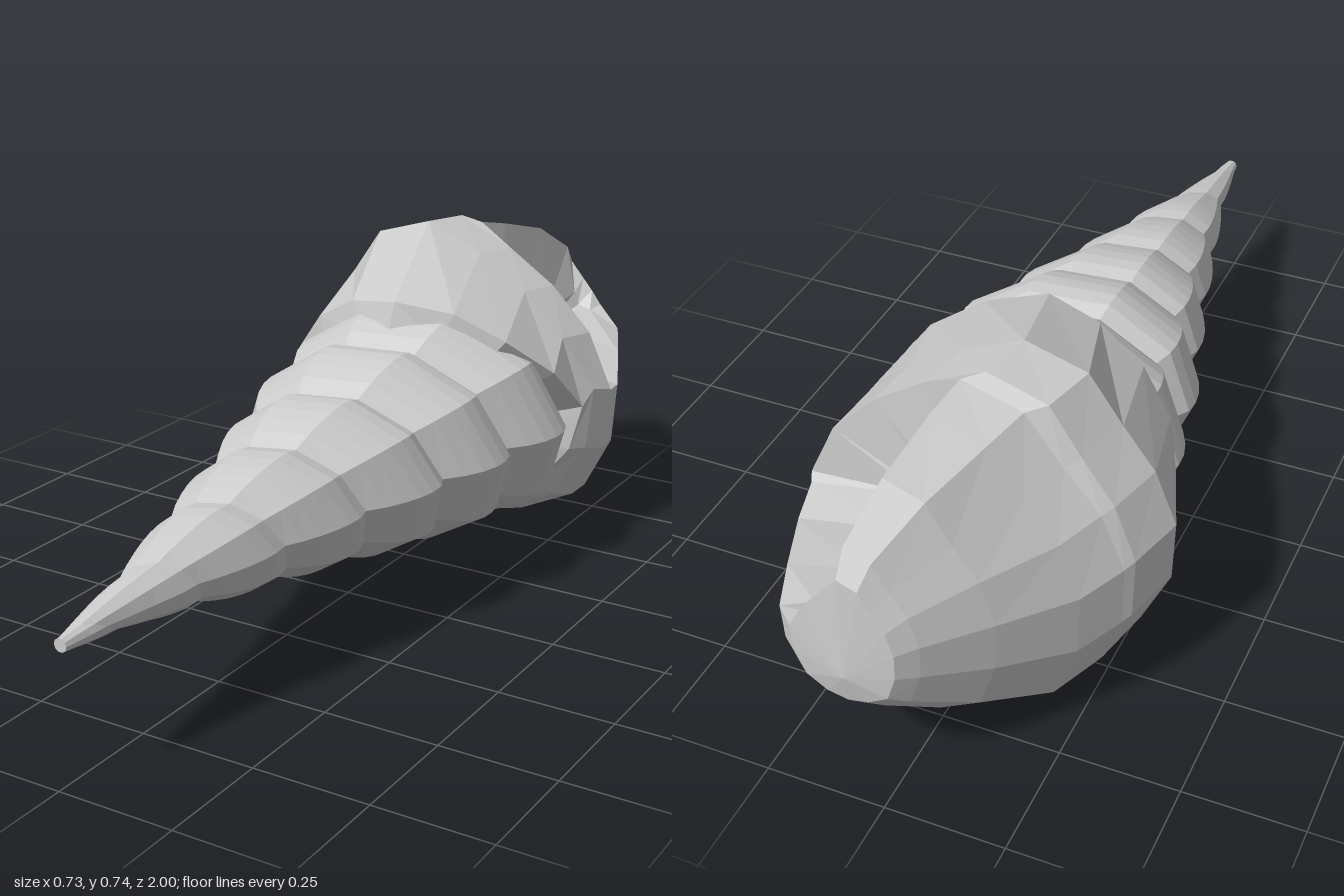
import * as THREE from 'three';

const { lerp, degToRad } = THREE.MathUtils;

// Faceted surface from f(u, v) -> [x, y, z]; it faces along du x dv
function gridMesh(name, nu, nv, f, material) {
  const pos = [], index = [];
  for (let u = 0; u <= nu; u++) for (let v = 0; v <= nv; v++) pos.push(...f(u, v));
  for (let u = 0; u < nu; u++) {
    for (let v = 0; v < nv; v++) {
      const a = u * (nv + 1) + v, b = a + nv + 1;
      index.push(a, b, a + 1, b, b + 1, a + 1);
    }
  }
  const indexed = new THREE.BufferGeometry();
  indexed.setAttribute('position', new THREE.Float32BufferAttribute(pos, 3));
  indexed.setIndex(index);
  const geometry = indexed.toNonIndexed();
  geometry.computeVertexNormals();
  const mesh = new THREE.Mesh(geometry, material);
  mesh.name = name;
  return mesh;
}

// Linear lookup in [key, value] pairs with falling keys
function sample(table, k) {
  if (k >= table[0][0]) return table[0][1];
  for (let i = 1; i < table.length; i++) {
    const [k0, v0] = table[i - 1], [k1, v1] = table[i];
    if (k >= k1) return lerp(v0, v1, (k0 - k) / (k0 - k1));
  }
  return table[table.length - 1][1];
}

// Outer radius of the spire along z
const SPIRE = [[1, 0.014], [0.8, 0.05], [0.6, 0.1], [0.38, 0.148], [0.17, 0.198],
  [-0.02, 0.242], [-0.22, 0.272], [-0.4, 0.292], [-0.6, 0.285]];
const PITCH = 0.21, SIDES = 10, ARCH = 6;

// Coiled whorls: an arched band wound clockwise from the tip, tilted back at the bottom
function spirePoint(i, j) {
  const s = j / ARCH, a = Math.PI / 2 - ((i - 0.5) / SIDES) * Math.PI * 2;
  const z = Math.min(1, 1.38 - (PITCH * (i - 0.5)) / SIDES - PITCH * s);
  const arch = Math.pow(Math.max(0, Math.sin(Math.PI * s)), 0.7);
  const r = sample(SPIRE, z) * (z < 1 ? 1 - 0.15 * (1 - arch) : 1);
  const wide = 1 + 0.2 * Math.min(1, 1.1 * (1 - z));
  const tilt = z < 1 ? 0.2 * r * (1 - Math.sin(a)) : 0;
  return [0.022 + r * wide * Math.cos(a), 0.296 + 0.035 * (1 - z) + r * Math.sin(a), z - tilt];
}

// Body rings: z, left x, right x, bottom y, top y, depth of the mouth
const BODY = [
  [-0.14, -0.25, 0.28, 0.13, 0.56, 0],
  [-0.16, -0.3, 0.34, 0.09, 0.632, 0],
  [-0.46, -0.39, 0.345, 0.04, 0.74, 0],
  [-0.57, -0.35, 0.36, 0.015, 0.735, 0],
  [-0.59, -0.335, 0.35, 0.01, 0.72, 1],
  [-0.68, -0.28, 0.33, 0, 0.70, 1],
  [-0.83, -0.175, 0.265, 0.10, 0.66, 0.95],
  [-0.95, -0.08, 0.21, 0.21, 0.59, 0.7],
  [-0.985, -0.045, 0.17, 0.25, 0.545, 0.15],
  [-1, 0.06, 0.06, 0.32, 0.32, 0],
];
// Slanted front edge of the body by clockwise angle from the top
const EDGE = [[0, -0.16], [-45, -0.25], [-90, -0.46], [-180, -0.42], [-270, -0.27], [-360, -0.16]];
const BODY_SIDES = 16;
// Flat shoulders and full lower flank: radius factor by side, clockwise from the top
const FLANK = [1, 0.9, 0.88, 0.92, 1, 1.05, 1.08, 1.02, 1, 1.01, 1.08, 1.01, 0.95, 0.88, 0.84, 0.96];
// Share of the radius left inside the mouth, by side number
const MOUTH = { 1: 0.26, 2: 0.12, 3: 0.36 };

function bodyPoint(i, j) {
  const [z0, xl, xr, yb, yt, mouth] = BODY[j];
  const side = i % BODY_SIDES, turn = side * (360 / BODY_SIDES);
  const a = degToRad(90 - turn), c = Math.cos(a), s = Math.sin(a);
  const edge = sample(EDGE, -turn);
  const z = j < 2 ? edge + z0 + 0.16 : j < 4 ? Math.min(z0, edge - 0.05 * (j - 1)) : z0;
  const k = (j > 1 ? FLANK[side] : 1) * lerp(1, MOUTH[side] ?? 1, mouth);
  const lean = s > 0 && j > 1 && j < 4 ? -0.04 * s * s : 0;
  const x = (xl + xr) / 2 + (k * c * (xr - xl)) / 2 + lean;
  return [x, (yb + yt) / 2 + (k * s * (yt - yb)) / 2, z];
}

export function createModel() {
  const group = new THREE.Group();
  group.name = 'spiralShell';
  const material = new THREE.MeshStandardMaterial({
    color: 0xcccccc, flatShading: true, side: THREE.DoubleSide,
  });

  group.add(gridMesh('spireWhorls', 79, ARCH, spirePoint, material));
  group.add(gridMesh('bodyWhorl', BODY_SIDES, BODY.length - 1, bodyPoint, material));

  // Blunt end of the tip
  const tip = new THREE.Mesh(new THREE.CircleGeometry(0.014, SIDES), material);
  tip.name = 'tip';
  tip.position.set(0.022, 0.296, 1);
  group.add(tip);

  return group;
}
